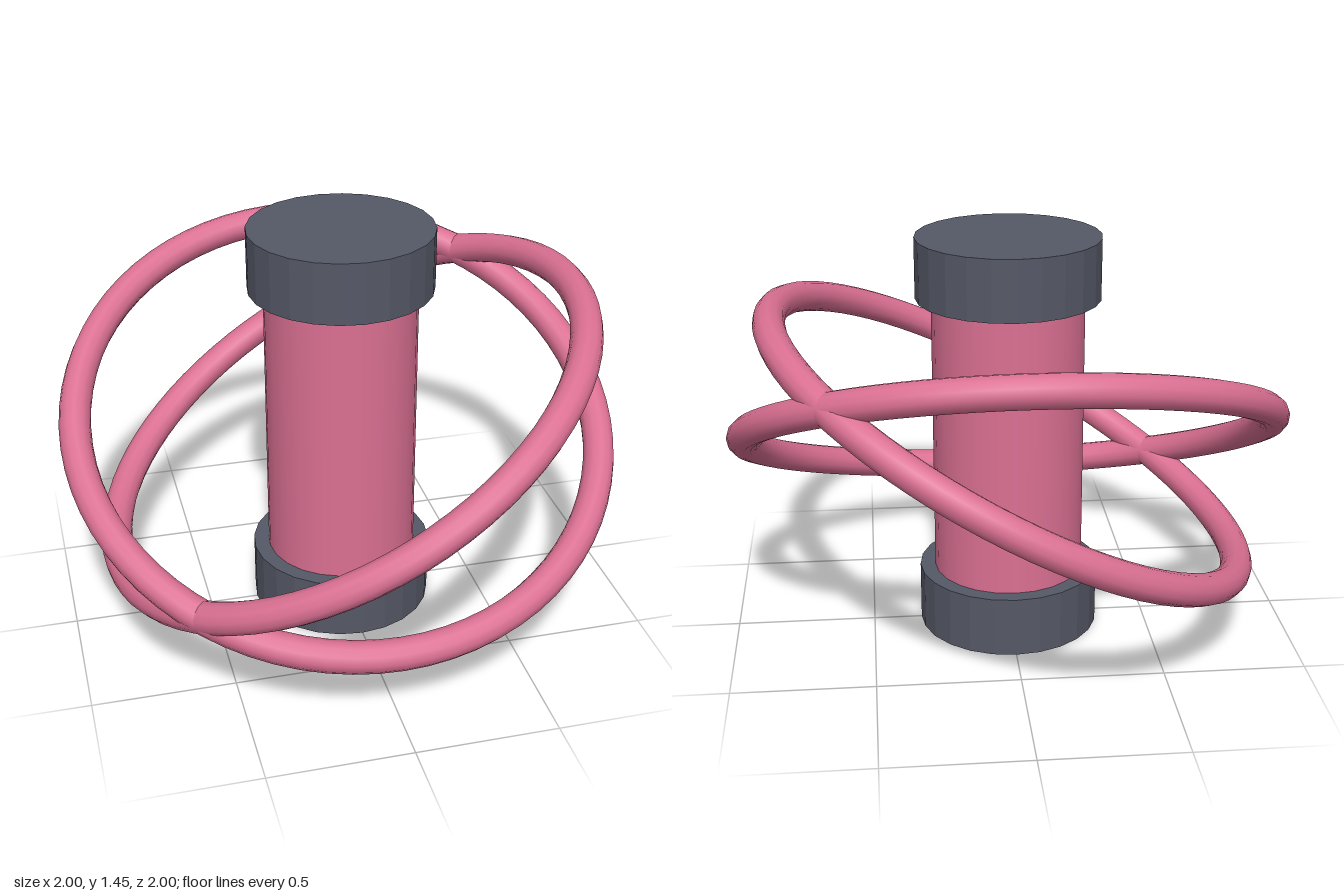
import * as THREE from 'three';

export function createModel() {
  const model = new THREE.Group();
  const pink = new THREE.MeshStandardMaterial({ color: 0xdb7093 });
  pink.name = 'pink';
  const slate = new THREE.MeshStandardMaterial({ color: 0x555866, flatShading: true });
  slate.name = 'slate grey';

  const HEIGHT = 1.45, MID = HEIGHT / 2, CAP = 0.217, TILT = 0.5;

  function add(name, geometry, material, y) {
    const mesh = new THREE.Mesh(geometry, material);
    mesh.name = name;
    mesh.position.y = y;
    model.add(mesh);
    return mesh;
  }

  // Central column between two faceted end caps
  add('column', new THREE.CylinderGeometry(0.27, 0.27, HEIGHT - 2 * CAP, 24), pink, MID);
  const capGeometry = new THREE.CylinderGeometry(0.325, 0.325, CAP, 24);
  add('bottomCap', capGeometry, slate, CAP / 2);
  add('topCap', capGeometry, slate, HEIGHT - CAP / 2);

  // Two equal rings laid flat, then tilted about perpendicular axes
  const ringGeometry = new THREE.TorusGeometry(0.943, 0.056, 12, 72).rotateX(Math.PI / 2);
  add('sideTiltedRing', ringGeometry, pink, MID).rotation.z = TILT;
  add('frontTiltedRing', ringGeometry, pink, MID).rotation.x = TILT;

  return model;
}
